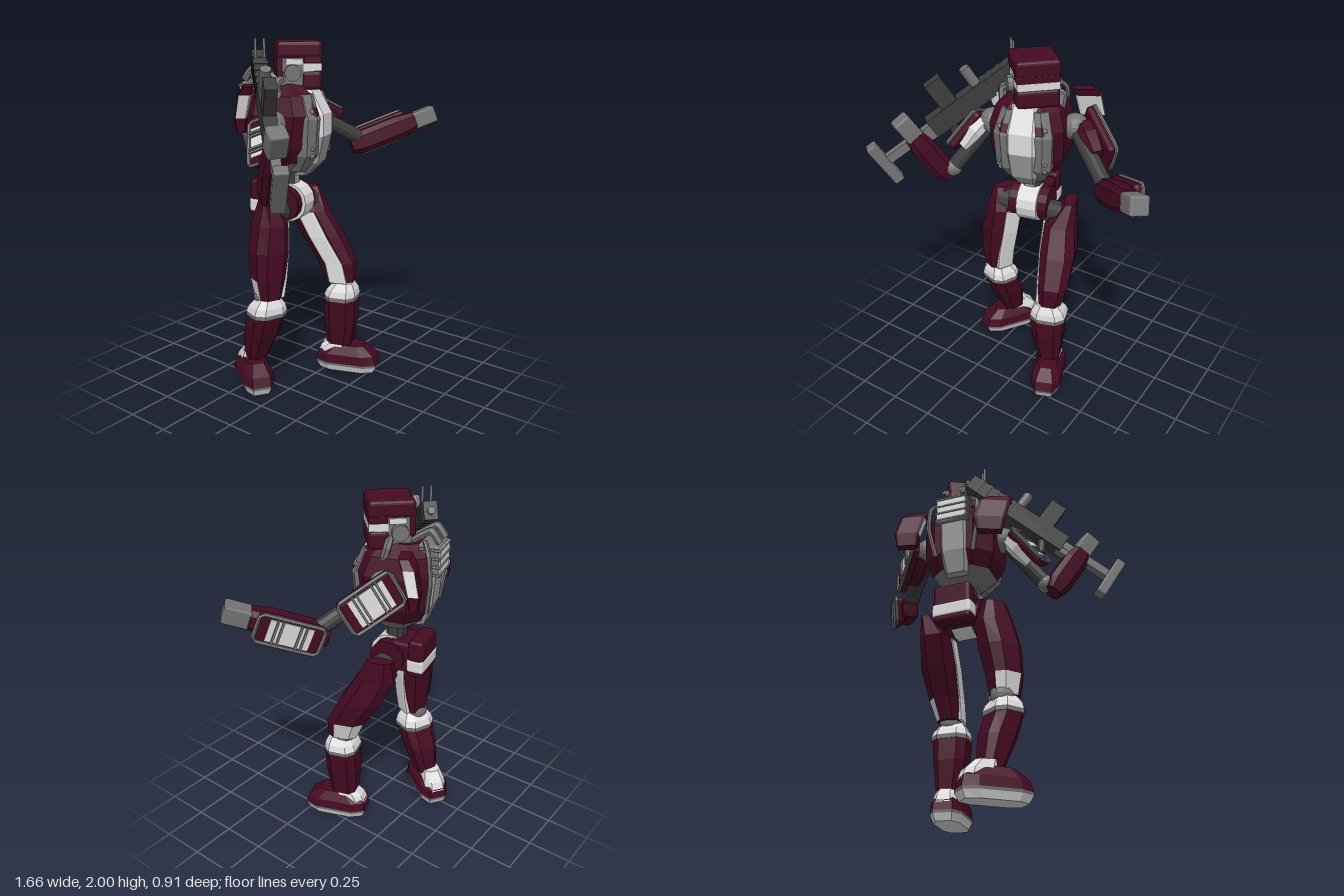
import * as THREE from 'three';
import { RoundedBoxGeometry } from 'three/addons/geometries/RoundedBoxGeometry.js';

const mat = (name, color) => Object.assign(new THREE.MeshStandardMaterial({ color, flatShading: true }), { name });
const V = (x, y, z) => new THREE.Vector3(x, y, z);

export function createModel() {
  const maroon = mat('maroon', 0x450a22), white = mat('white', 0xdcdcdc), grey = mat('grey', 0x747474);
  const dark = mat('dark grey', 0x3d3d3d), pale = mat('pale grey', 0x9c9c9c);
  const model = new THREE.Group();
  model.name = 'robot';

  const add = (parent, name, geo, m, x = 0, y = 0, z = 0) => {
    const mesh = new THREE.Mesh(geo, m);
    mesh.name = name;
    mesh.position.set(x, y, z);
    parent.add(mesh);
    return mesh;
  };
  const box = (p, name, m, w, h, d, x, y, z) => add(p, name, new THREE.BoxGeometry(w, h, d), m, x, y, z);
  const rbox = (p, name, m, w, h, d, x, y, z, r = 0.02) => add(p, name, new RoundedBoxGeometry(w, h, d, 2, r), m, x, y, z);
  const ball = (p, name, m, r, x, y, z) => add(p, name, new THREE.SphereGeometry(r, 14, 10), m, x, y, z);
  const tube = (p, name, m, pts, r, closed = false) =>
    add(p, name, new THREE.TubeGeometry(new THREE.CatmullRomCurve3(pts, closed, 'catmullrom', 0.2), 32, r, 6, closed), m);
  const rod = (p, name, m, r, a, b) => {
    const d = b.clone().sub(a), mesh = add(p, name, new THREE.CylinderGeometry(r, r, d.length(), 12), m);
    mesh.position.copy(a).addScaledVector(d, 0.5);
    mesh.quaternion.setFromUnitVectors(V(0, 1, 0), d.normalize());
    return mesh;
  };
  const group = (name, x, y, z, yaw = 0) => {
    const g = new THREE.Group();
    g.name = name;
    g.position.set(x, y, z);
    g.rotation.y = yaw;
    model.add(g);
    return g;
  };
  // Group whose +y runs from a to b and whose +z leans towards ref
  const aligned = (name, a, b, ref) => {
    const g = group(name, a.x, a.y, a.z), y = b.clone().sub(a).normalize();
    const x = y.clone().cross(ref).normalize(), z = x.clone().cross(y);
    g.quaternion.setFromRotationMatrix(new THREE.Matrix4().makeBasis(x, y, z));
    return g;
  };
  // Faceted body through chamfered sections [y, cx, cz, halfWidth, halfDepth];
  // sides run 0:+x, 2:+z, 4:-x, 6:-z with the chamfers between them
  const loft = (p, name, mats, sections, { yaw = 0, c = 0.55, pick = () => 0 } = {}) => {
    const oct = [[1, -c], [1, c], [c, 1], [-c, 1], [-1, c], [-1, -c], [-c, -1], [c, -1]];
    const co = Math.cos(yaw), si = Math.sin(yaw), pos = [], geo = new THREE.BufferGeometry();
    const rings = sections.map(([y, cx, cz, w, d]) =>
      oct.map(([u, v]) => [cx + u * w * co + v * d * si, y, cz - u * w * si + v * d * co]));
    const face = (pts, m) => {
      geo.addGroup(pos.length / 3, pts.length, m);
      pts.forEach(q => pos.push(...q));
    };
    rings.slice(1).forEach((top, i) => oct.forEach((_, k) => {
      const n = (k + 1) % 8, r = rings[i];
      face([r[k], top[k], top[n], r[k], top[n], r[n]], pick(i, k));
    }));
    const lo = rings[0], hi = rings[rings.length - 1];
    for (let k = 1; k < 7; k++) {
      face([lo[0], lo[k], lo[k + 1]], pick(0, -1));
      face([hi[0], hi[k + 1], hi[k]], pick(rings.length - 2, -1));
    }
    geo.setAttribute('position', new THREE.Float32BufferAttribute(pos, 3));
    geo.computeVertexNormals();
    return add(p, name, geo, Array.isArray(mats) ? mats : [mats]);
  };

  // Legs and feet
  const leg = (side, s, yaw, thigh, shin, knee, foot, footYaw) => {
    const patch = s > 0 ? [0, 7] : [4, 5], [kx, kz] = knee, a = yaw * 1.15;
    loft(model, side + 'Thigh', [maroon, white], thigh, { yaw: a, c: 0.52, pick: (i, k) => +(i === 0 && patch.includes(k)) });
    loft(model, side + 'ThighStripe', white, thigh.slice(0, 4).map(([y, cx, cz, w]) =>
      [y, cx - s * w * 0.86 * Math.cos(a), cz + s * w * 0.86 * Math.sin(a), 0.025, 0.052]), { yaw: a, c: 0.8 });
    ball(model, side + 'KneeJoint', grey, 0.066, kx, 0.575, kz - 0.01);
    loft(model, side + 'Knee', [grey, white], [[0.465, kx, kz, 0.104, 0.095], [0.49, kx, kz, 0.104, 0.095],
      [0.525, kx, kz + 0.005, 0.094, 0.086], [0.57, kx, kz + 0.015, 0.062, 0.055]], { yaw, pick: i => +(i > 0) });
    loft(model, side + 'Shin', maroon, shin, { yaw });
    const f = group(side + 'Foot', foot[0], 0, foot[1], footYaw);
    loft(f, 'sole', [white, grey], [[0, 0, 0, 0.072, 0.165], [0.04, 0, 0, 0.088, 0.185], [0.055, 0, 0, 0.09, 0.187]], { c: 0.6, pick: i => i });
    loft(f, 'shoe', maroon, [[0.055, 0, 0, 0.09, 0.187], [0.11, 0, -0.005, 0.086, 0.172], [0.165, 0, 0, 0.057, 0.1]], { c: 0.6 });
    loft(f, 'ankle', white, [[0.1, 0, -0.08, 0.07, 0.1], [0.15, 0, -0.075, 0.064, 0.085], [0.2, 0, -0.045, 0.05, 0.06]]);
  };
  leg('left', 1, 0.32,
    [[0.575, 0.17, 0.06, 0.068, 0.085], [0.69, 0.175, 0.03, 0.085, 0.108], [0.85, 0.148, -0.06, 0.1, 0.118], [1.0, 0.115, -0.135, 0.088, 0.108], [1.13, 0.15, -0.18, 0.035, 0.07]],
    [[0.17, 0.17, 0.06, 0.065, 0.075], [0.34, 0.165, 0.07, 0.09, 0.095], [0.47, 0.165, 0.075, 0.1, 0.092]], [0.168, 0.072], [0.19, 0.105], 0.38);
  leg('right', -1, -0.36,
    [[0.575, -0.31, -0.1, 0.065, 0.075], [0.69, -0.31, -0.1, 0.087, 0.09], [0.85, -0.292, -0.11, 0.1, 0.105], [1.0, -0.265, -0.12, 0.088, 0.102], [1.13, -0.275, -0.13, 0.035, 0.065]],
    [[0.17, -0.295, -0.22, 0.06, 0.06], [0.34, -0.3, -0.165, 0.09, 0.09], [0.47, -0.31, -0.115, 0.1, 0.085]], [-0.31, -0.115], [-0.315, -0.22], -0.58);

  // Pelvis and waist
  rod(model, 'hipAxle', dark, 0.065, V(-0.28, 1.05, -0.1), V(0.15, 1.05, -0.14));
  const pelvis = group('pelvis', -0.08, 1.09, -0.15, 0.22);
  for (const [name, m, r, w, z] of [['hipShell', maroon, 0.1, 0.23, 0.03], ['hipStripe', white, 0.112, 0.12, 0.038]])
    add(pelvis, name, new THREE.CylinderGeometry(r, r, w, 14), m, 0, 0, z).rotation.z = Math.PI / 2;
  rbox(pelvis, 'hipBlock', maroon, 0.2, 0.18, 0.2, 0, 0.01, -0.06);
  rbox(pelvis, 'rearGuard', maroon, 0.22, 0.22, 0.09, 0, 0.015, -0.135);
  rbox(pelvis, 'rearGuardStripe', white, 0.228, 0.08, 0.098, 0, -0.025, -0.135, 0.015);
  loft(model, 'waist', [dark, pale], [[1.13, -0.08, -0.13, 0.055, 0.05], [1.32, -0.08, -0.13, 0.055, 0.05]], { yaw: 0.22, pick: (i, k) => +(k === 2) });

  // Torso, with layered chest panels and a ribbed pack
  const torso = group('torso', -0.08, 0, -0.13, 0.28);
  loft(torso, 'bodyShell', [maroon, grey], [[1.26, 0, 0, 0.08, 0.07], [1.335, 0, -0.01, 0.165, 0.15], [1.42, 0, -0.01, 0.205, 0.195],
    [1.6, 0, 0, 0.21, 0.215], [1.7, 0, -0.01, 0.18, 0.18], [1.76, 0, -0.02, 0.11, 0.12]], { pick: i => +(i === 0) });
  loft(torso, 'chestBand', grey, [[1.28, 0, 0.05, 0.1, 0.08], [1.38, 0, 0.09, 0.155, 0.115], [1.58, 0, 0.1, 0.165, 0.12], [1.71, 0, 0.06, 0.13, 0.11]], { c: 0.72 });
  loft(torso, 'chestPanel', [pale, white], [[1.25, 0, 0.05, 0.05, 0.07], [1.33, 0, 0.1, 0.078, 0.1], [1.48, 0, 0.115, 0.088, 0.118],
    [1.6, 0, 0.115, 0.088, 0.118], [1.73, 0, 0.06, 0.075, 0.1]], { c: 0.75, pick: i => +(i > 1) });
  for (const sx of [-1, 1]) for (const y of [1.38, 1.42, 1.62]) ball(torso, 'bolt', grey, 0.014, sx * 0.125, y, 0.19);
  loft(torso, 'backPanel', pale, [[1.3, 0, -0.09, 0.065, 0.08], [1.42, 0, -0.125, 0.085, 0.09], [1.6, 0, -0.135, 0.085, 0.095]], { c: 0.75 });
  rbox(torso, 'backPack', grey, 0.18, 0.17, 0.12, 0, 1.68, -0.19);
  box(torso, 'packPanel', white, 0.17, 0.15, 0.008, 0, 1.675, -0.252);
  for (let i = 0; i < 4; i++) rbox(torso, 'packRib', grey, 0.2, 0.014, 0.12, 0, 1.607 + i * 0.045, -0.2, 0.006);
  for (const sx of [-1, 1]) {
    tube(torso, 'backFrame', grey, [V(sx * 0.08, 1.78, -0.17), V(sx * 0.14, 1.72, -0.21), V(sx * 0.145, 1.58, -0.225), V(sx * 0.11, 1.4, -0.2)], 0.013);
    tube(torso, 'neckHose', grey, [V(sx * 0.16, 1.66, 0.03), V(sx * 0.17, 1.76, 0), V(sx * 0.1, 1.79, 0.01)], 0.022);
    tube(torso, 'packPipe', grey, [V(sx * 0.05, 1.77, -0.24), V(sx * 0.05, 1.83, -0.19), V(sx * 0.05, 1.76, -0.08)], 0.02);
  }
  add(torso, 'neck', new THREE.CylinderGeometry(0.08, 0.1, 0.1, 12), grey, 0.01, 1.74, 0.02);

  // Shoulder guards, with a white field on the forward half
  for (const [name, x, z, yaw, w] of [['leftShoulderGuard', 0.14, -0.36, 0.5, 0.07], ['rightShoulderGuard', -0.34, -0.22, 0.7, 0.09]])
    loft(model, name, [maroon, white], [[1.51, x + 0.01, z - 0.035, w * 0.8, 0.025], [1.59, x + 0.01, z - 0.035, w, 0.033],
      [1.715, x, z + 0.005, w, 0.036], [1.76, x - 0.01, z + 0.04, w * 0.85, 0.03]], { yaw, c: 0.8, pick: (i, k) => +(i === 1 && k < 5) });

  // Head
  const head = group('head', -0.045, 0, -0.09, 0.78);
  rbox(head, 'headCore', grey, 0.22, 0.21, 0.2, 0, 1.84, -0.01);
  rbox(head, 'helmetTop', maroon, 0.24, 0.09, 0.245, 0, 1.94, 0);
  rbox(head, 'brow', maroon, 0.234, 0.05, 0.1, 0, 1.888, 0.07, 0.012);
  rbox(head, 'jaw', maroon, 0.234, 0.1, 0.11, 0, 1.778, 0.067);
  box(head, 'visor', white, 0.23, 0.04, 0.1, 0, 1.847, 0.07);
  rbox(head, 'rearPlate', maroon, 0.225, 0.18, 0.04, 0, 1.88, -0.105, 0.015);
  for (const sx of [-1, 1]) {
    rod(head, 'earDisc', grey, 0.045, V(sx * 0.1, 1.82, -0.04), V(sx * 0.14, 1.82, -0.04));
    box(head, 'earBand', white, 0.008, 0.03, 0.09, sx * 0.113, 1.878, -0.03);
  }

  // Arms: framed guards over dark limbs
  const guard = (g, y, len, w, z) => {
    rbox(g, 'guardPlate', maroon, w, len, 0.05, 0, y, z);
    box(g, 'guardPanel', white, w * 0.8, len * 0.66, 0.008, 0, y, z + 0.026);
    for (const o of [-0.22, -0.14, 0.14, 0.22]) box(g, 'guardSlat', grey, w * 0.88, 0.012, 0.02, 0, y + o * len, z + 0.03);
    const h = len / 2, a = w / 2, b = 0.02;
    tube(g, 'guardFrame', grey, [V(-a, y - h + b, z + 0.025), V(-a + b, y - h, z + 0.025), V(a - b, y - h, z + 0.025), V(a, y - h + b, z + 0.025),
      V(a, y + h - b, z + 0.025), V(a - b, y + h, z + 0.025), V(-a + b, y + h, z + 0.025), V(-a, y + h - b, z + 0.025)], 0.011, true);
  };
  const arm = (side, shoulder, elbow, upRef, shell, guardPos, start, wrist, foreRef, foreGuard) => {
    ball(model, side + 'Shoulder', grey, 0.075, shoulder.x, shoulder.y, shoulder.z);
    ball(model, side + 'Elbow', grey, 0.052, elbow.x, elbow.y, elbow.z);
    const up = aligned(side + 'UpperArm', shoulder, elbow, upRef), len = shoulder.distanceTo(elbow);
    rod(up, 'upperArmCore', dark, 0.045, V(0, 0, 0), V(0, len, 0));
    loft(up, 'upperArmShell', shell, [[0.02, 0, 0.035, 0.065, 0.055], [0.1, 0, 0.035, 0.078, 0.055], [0.22, 0, 0.03, 0.055, 0.045]]);
    guard(up, ...guardPos);
    const fore = aligned(side + 'Forearm', start, wrist, foreRef), l = start.distanceTo(wrist);
    loft(fore, 'forearmShell', maroon, [[-0.04, 0, 0, 0.045, 0.045], [0.03, 0, 0, 0.068, 0.056], [l * 0.7, 0, 0, 0.068, 0.06], [l, 0, 0, 0.055, 0.05]]);
    if (foreGuard) guard(fore, l * 0.45, l * 0.9, 0.16, 0.055);
    rbox(fore, 'hand', grey, 0.1, 0.14, 0.1, 0, l + 0.06, 0, 0.012);
  };
  arm('left', V(0.15, 1.58, -0.2), V(0.46, 1.38, 0), V(0.6, 0.05, -0.75), maroon, [0.11, 0.31, 0.2, 0.09],
    V(0.44, 1.355, -0.02), V(0.7, 1.485, 0.22), V(0.7, -0.1, -0.7), true);
  arm('right', V(-0.3, 1.56, -0.06), V(-0.48, 1.28, 0.09), V(-0.8, 0.35, 0), white, [0.14, 0.26, 0.16, 0.07],
    V(-0.53, 1.25, 0.11), V(-0.63, 1.5, 0.24), V(-0.7, 0, -0.4), false);

  // Rifle: local +y runs from muzzle to stock, +z is its upper side
  const gun = aligned('rifle', V(-0.2, 1.88, -0.24), V(-0.76, 1.35, 0.38), V(0, 1, 0));
  box(gun, 'receiver', dark, 0.075, 0.4, 0.115, 0, 0.44, 0);
  box(gun, 'barrelShroud', dark, 0.075, 0.3, 0.1, 0, 0.13, 0.005);
  for (let i = 0; i < 5; i++) box(gun, 'shroudRib', dark, 0.082, 0.025, 0.106, 0, 0.04 + i * 0.055, 0.005);
  rod(gun, 'barrel', grey, 0.02, V(0, -0.04, 0), V(0, 0.1, 0));
  rod(gun, 'sight', grey, 0.03, V(0, 0.3, 0.03), V(0, 0.3, 0.17));
  box(gun, 'magazine', dark, 0.065, 0.1, 0.18, 0, 0.48, 0.13);
  rod(gun, 'grip', dark, 0.025, V(0, 0.52, -0.04), V(0, 0.56, -0.13));
  box(gun, 'stockArm', grey, 0.05, 0.34, 0.05, 0, 0.79, 0);
  box(gun, 'stockBrace', grey, 0.045, 0.12, 0.08, 0, 0.68, -0.02);
  rbox(gun, 'stockPlate', grey, 0.075, 0.06, 0.27, 0, 0.97, -0.01, 0.01);
  for (const [x, z] of [[-0.23, -0.17], [-0.265, -0.2]]) rod(model, 'antenna', grey, 0.007, V(x, 1.84, z), V(x, 2, z));

  return model;
}
